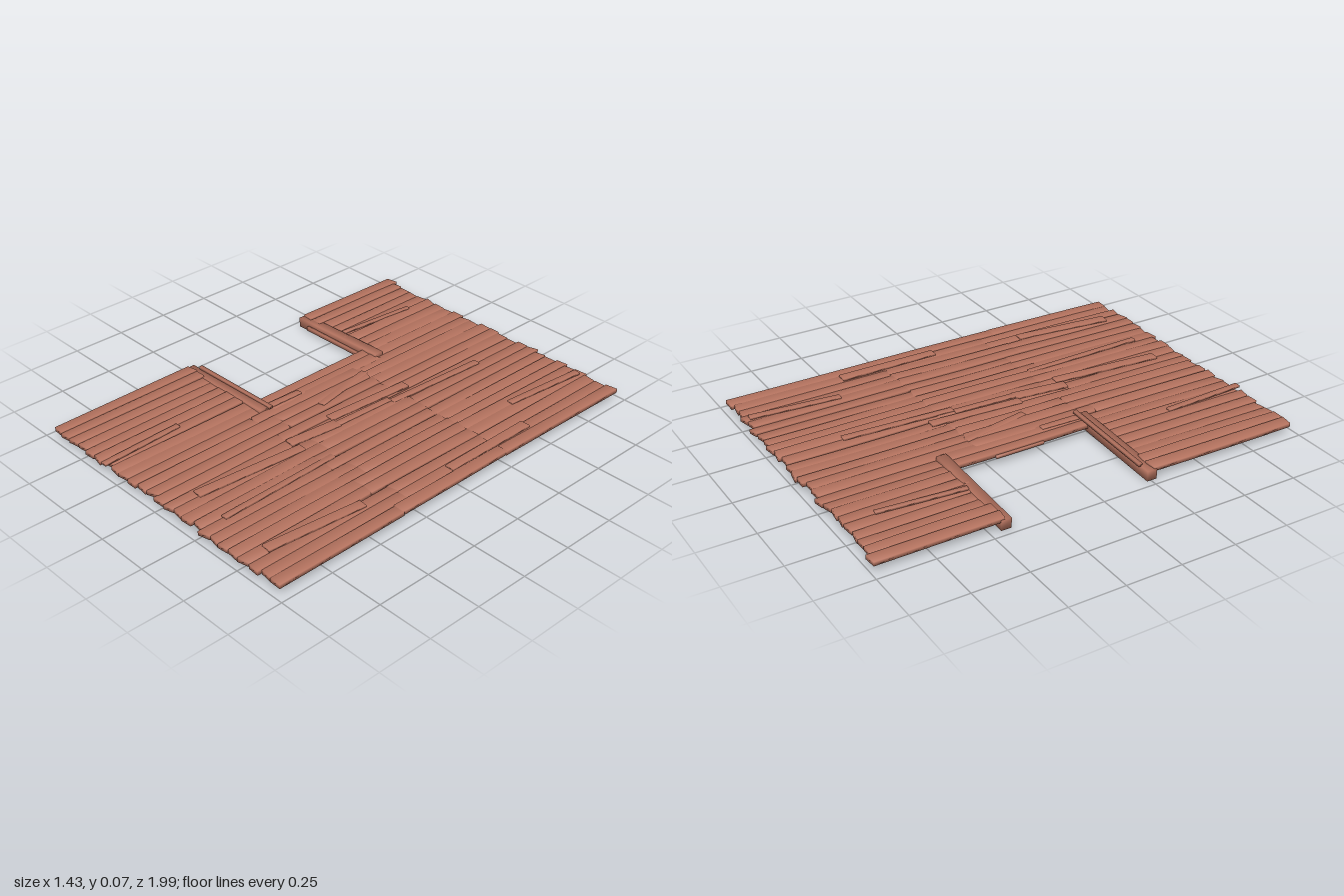
import * as THREE from 'three';
import { mergeVertices } from 'three/addons/utils/BufferGeometryUtils.js';

const wood = new THREE.MeshStandardMaterial({ color: 0xb5735f, roughness: 0.9 });

// Small seeded generator, returns -1..1
let seed = 7;
function jitter() {
  seed = (seed * 16807) % 2147483647;
  return (seed / 2147483647) * 2 - 1;
}

// A worn board running between two points [x, y, z], with slight taper, bow and skewed ends
function board(name, a, b, width, height, { roll = 0, bow = 0, taper = 0, skew = 0 } = {}) {
  const from = new THREE.Vector3(...a);
  const to = new THREE.Vector3(...b);
  const length = from.distanceTo(to);
  let geo = new THREE.BoxGeometry(width, height, length, 1, 1, 4);
  const p = geo.attributes.position;
  for (let i = 0; i < p.count; i++) {
    const x = p.getX(i);
    const t = p.getZ(i) / length; // -0.5..0.5
    const arch = bow * (1 - 4 * t * t);
    p.setXYZ(i, x * (1 + taper * t) + arch, p.getY(i) + arch * 0.5, p.getZ(i) + x * skew * 2 * t);
  }
  // Weld the corners so the worn edges shade softly
  geo.deleteAttribute('normal');
  geo.deleteAttribute('uv');
  geo = mergeVertices(geo);
  geo.rotateZ(roll);
  geo.computeVertexNormals();
  const mesh = new THREE.Mesh(geo, wood);
  mesh.name = name;
  mesh.position.copy(from).lerp(to, 0.5);
  mesh.lookAt(to);
  return mesh;
}

export function createModel() {
  seed = 7;
  const model = new THREE.Group();
  model.name = 'plankFloor';

  const columns = 25;
  const pitch = 1.43 / columns;
  const left = -0.715;
  const notchColumns = 9;

  const rows = {};
  for (const name of ['backRow', 'middleRow', 'frontRow']) {
    rows[name] = new THREE.Group();
    rows[name].name = name;
    model.add(rows[name]);
  }

  const plank = (row, x, z0, z1, y0, y1) =>
    rows[row].add(board('plank', [x + jitter() * 0.003, y0, z0], [x + jitter() * 0.003, y1, z1],
      pitch * (0.96 + jitter() * 0.04), 0.019, {
        roll: jitter() * 0.1, bow: jitter() * 0.003, taper: jitter() * 0.1, skew: jitter() * 0.25,
      }));

  // Three rows of planks, shortened beside the notch
  for (let i = 0; i < columns; i++) {
    const x = left + pitch * (i + 0.5);
    const wave = 0.004 * Math.sin(x * 22 - 2.6);
    const beside = i < notchColumns;
    const joint = i % 4 < 2 ? 0.34 : 0.26;
    plank('backRow', x, -0.98 + jitter() * 0.012, beside ? -0.43 : -0.26, 0.04 + wave * 0.6, 0.044 + wave);
    plank('frontRow', x, beside ? 0.265 : joint, 0.975 + jitter() * 0.01, 0.045 + wave, 0.04 + wave * 0.6);
    if (!beside) plank('middleRow', x, -0.265, joint, 0.047 + wave, 0.046 + wave);
  }
  // Planks along the inner edge of the notch
  plank('middleRow', -0.258, -0.41, 0.25, 0.044, 0.044);
  plank('middleRow', -0.208, -0.41, 0.25, 0.046, 0.046);
  rows.middleRow.add(board('edgeSliver', [-0.292, 0.04, -0.22], [-0.29, 0.04, 0.01], 0.014, 0.012));

  // Loose narrow boards lying on the floor: x0, z0, x1, z1, width
  const loose = [
    [0.145, -0.70, 0.12, -0.19, 0.03], [0.51, -0.96, 0.475, -0.55, 0.03],
    [0.63, -0.47, 0.635, 0.0, 0.045], [-0.135, -0.27, -0.07, 0.05, 0.032],
    [0.06, -0.33, 0.035, 0.10, 0.042], [0.085, 0.10, 0.06, 0.35, 0.05],
    [0.12, 0.33, 0.08, 0.85, 0.045], [0.25, 0.28, 0.27, 0.87, 0.026],
    [0.57, 0.42, 0.525, 0.88, 0.045], [-0.36, 0.60, -0.34, 0.995, 0.026],
    [-0.425, -0.84, -0.46, -0.45, 0.02], [-0.21, 0.05, -0.215, 0.25, 0.03],
    [0.10, -0.19, 0.09, 0.10, 0.03],
  ];
  const scraps = new THREE.Group();
  scraps.name = 'looseBoards';
  for (const [x0, z0, x1, z1, w] of loose) {
    scraps.add(board('looseBoard', [x0, 0.056, z0], [x1, 0.057, z1], w, 0.011, { taper: jitter() * 0.15 }));
  }
  model.add(scraps);

  // Narrow boards patched beneath the floor
  const patches = new THREE.Group();
  patches.name = 'underBoards';
  for (const [x, z0, z1] of [[-0.55, 0.35, 0.95], [-0.3, -0.85, -0.45], [0.08, -0.6, 0.0],
    [0.29, -0.25, 0.3], [0.53, -0.85, -0.3], [0.46, 0.3, 0.8]]) {
    patches.add(board('underBoard', [x, 0.027, z0], [x + jitter() * 0.02, 0.027, z1], 0.05, 0.012));
  }
  model.add(patches);

  // Trim beams on both sides of the notch, rising slightly inward
  const beams = new THREE.Group();
  beams.name = 'notchBeams';
  for (const z of [-0.427, 0.257]) {
    beams.add(board('beam', [-0.717, 0.025, z - 0.002], [-0.2, 0.044, z + 0.002], 0.046, 0.046));
  }
  beams.add(board('frontSlat', [-0.67, 0.056, 0.23], [-0.185, 0.07, 0.236], 0.016, 0.014));
  beams.add(board('backSlat', [-0.65, 0.022, -0.398], [-0.28, 0.026, -0.398], 0.014, 0.018));
  model.add(beams);

  return model;
}
